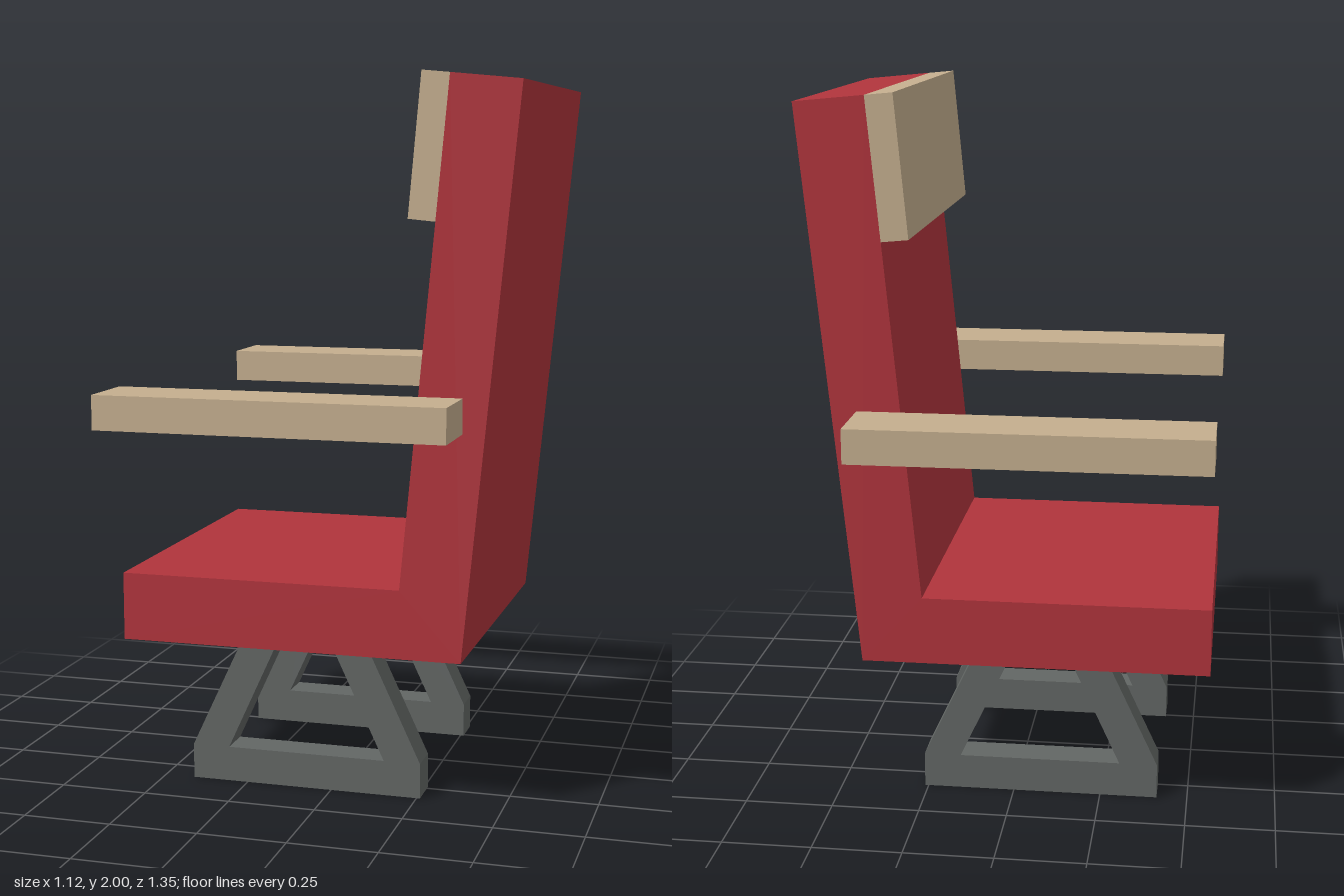
import * as THREE from 'three';

const red = new THREE.MeshStandardMaterial({ color: 0xb0343c });
const wood = new THREE.MeshStandardMaterial({ color: 0xc4ae8e });
const metal = new THREE.MeshStandardMaterial({ color: 0x626664 });

// Side profile in x/y, extruded along z and centred on zCentre
function slab(name, points, depth, zCentre, material) {
  const shape = new THREE.Shape(points.map(([x, y]) => new THREE.Vector2(x, y)));
  const geometry = new THREE.ExtrudeGeometry(shape, { depth, bevelEnabled: false });
  geometry.translate(0, 0, zCentre - depth / 2);
  const mesh = new THREE.Mesh(geometry, material);
  mesh.name = name;
  return mesh;
}

export function createModel() {
  const chair = new THREE.Group();
  chair.name = 'chair';

  // Seat cushion and leaning backrest share one L-shaped profile
  chair.add(slab('seatAndBackrest', [
    [-0.56, 0.44], [0.405, 0.44], [0.555, 1.975],
    [0.365, 1.993], [0.235, 0.63], [-0.56, 0.63],
  ], 0.965, 0, red));

  // Headrest pad on the front of the backrest
  chair.add(slab('headrest', [
    [0.255, 1.62], [0.329, 1.613], [0.365, 1.993], [0.29, 2.0],
  ], 0.965, 0, wood));

  for (const [side, s] of [['left', 1], ['right', -1]]) {
    // Armrests sit flush against the sides of the backrest
    const arm = new THREE.Mesh(new THREE.BoxGeometry(0.965, 0.095, 0.192), wood);
    arm.name = `${side}Armrest`;
    arm.position.set(-0.0775, 1.1075, s * 0.5785);
    chair.add(arm);

    // Open-topped trapezoid leg frames
    chair.add(slab(`${side}LegFrame`, [
      [-0.413, 0], [0.26, 0], [0.26, 0.1], [0.1, 0.44], [-0.005, 0.44],
      [0.155, 0.1], [-0.305, 0.1], [-0.148, 0.44], [-0.253, 0.44], [-0.413, 0.1],
    ], 0.096, s * 0.288, metal));
  }

  return chair;
}
